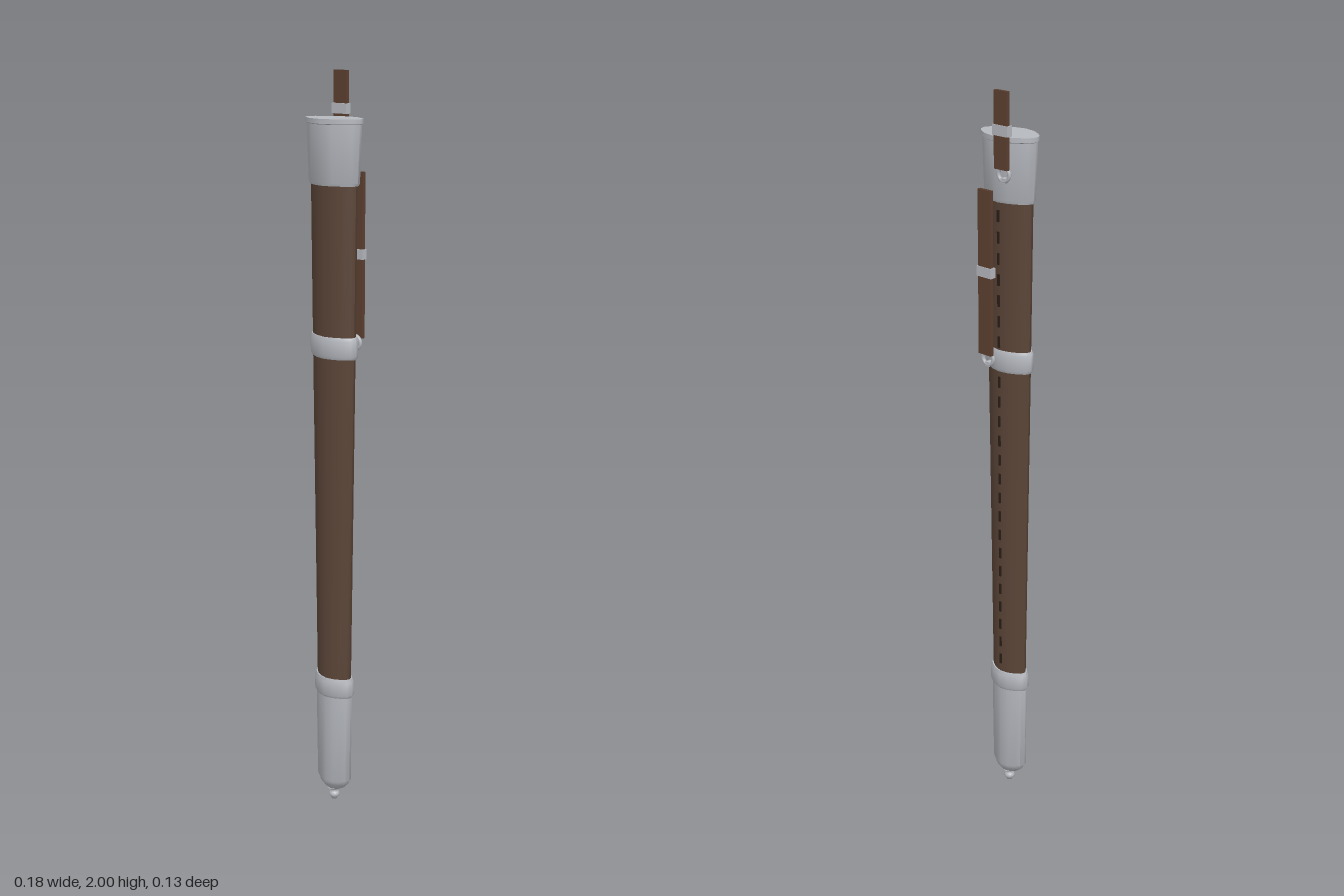
import * as THREE from 'three';
import { toCreasedNormals } from 'three/addons/utils/BufferGeometryUtils.js';

const material = (name, color, side = THREE.FrontSide) =>
  new THREE.MeshStandardMaterial({ name, color, side });

const CENTER_Z = 0.005;
// Quarter of the pointed oval section, as fractions of half width and half depth
const QUARTER = [[1, 0], [0.92, 0.31], [0.7, 0.6], [0.38, 0.87], [0, 1]];
const SECTION = [
  ...QUARTER,
  ...QUARTER.slice(0, 4).reverse().map(([x, z]) => [-x, z]),
  ...QUARTER.slice(1).map(([x, z]) => [-x, -z]),
  ...QUARTER.slice(1, 4).reverse().map(([x, z]) => [x, -z]),
];

// Capped solid through oval sections; rows run upwards as [y, halfWidth, halfDepth]
function loft(rows) {
  const n = SECTION.length, pos = [], index = [];
  for (const [y, w, d] of rows)
    for (const [x, z] of SECTION) pos.push(x * w, y, z * d + CENTER_Z);
  const bottom = rows.length * n, top = bottom + 1, last = (rows.length - 1) * n;
  pos.push(0, rows[0][0], CENTER_Z, 0, rows[rows.length - 1][0], CENTER_Z);
  for (let i = 0; i < n; i++) {
    const j = (i + 1) % n;
    for (let r = 0; r < last; r += n)
      index.push(r + i, r + n + i, r + j, r + j, r + n + i, r + n + j);
    index.push(bottom, i, j, top, last + j, last + i);
  }
  const geo = new THREE.BufferGeometry();
  geo.setAttribute('position', new THREE.Float32BufferAttribute(pos, 3));
  geo.setIndex(index);
  return toCreasedNormals(geo, 0.8);
}

// Flat tube of rectangular outline, running up y and open at both ends
function sleeve(width, height, depth, wall) {
  const rect = (P, w, d) => {
    const p = new P();
    p.moveTo(-w, -d); p.lineTo(w, -d); p.lineTo(w, d); p.lineTo(-w, d); p.closePath();
    return p;
  };
  const shape = rect(THREE.Shape, width / 2, depth / 2);
  shape.holes.push(rect(THREE.Path, width / 2 - wall, depth / 2 - wall));
  return new THREE.ExtrudeGeometry(shape, { depth: height, bevelEnabled: false })
    .translate(0, 0, -height / 2).rotateX(-Math.PI / 2);
}

export function createModel() {
  const model = new THREE.Group();
  model.name = 'scabbard';
  const leather = material('brown leather', 0x5a4437);
  const strapLeather = material('strap leather', 0x5c4030);
  const metal = material('pale steel', 0xb5b8be);
  const thread = material('dark thread', 0x2a1d16);

  const add = (name, geo, mat, x = 0, y = 0, z = 0, parent = model) => {
    const mesh = new THREE.Mesh(geo, mat);
    mesh.name = name;
    mesh.position.set(x, y, z);
    parent.add(mesh);
    return mesh;
  };

  // Leather body
  add('body', loft([[0.3, 0.055, 0.035], [1.3, 0.069, 0.039], [1.76, 0.074, 0.042]]), leather);

  // Metal throat with a thin rim
  add('throat', loft([
    [1.72, 0.077, 0.045], [1.727, 0.08, 0.048], [1.872, 0.085, 0.055],
    [1.874, 0.089, 0.058], [1.886, 0.089, 0.058],
  ]), metal);

  // Middle band
  add('middleBand', loft([
    [1.275, 0.072, 0.041], [1.283, 0.076, 0.045], [1.325, 0.077, 0.045], [1.333, 0.073, 0.042],
  ]), metal);

  // Metal tip fitting, its collar and rounded end
  add('tipFitting', loft([
    [0.036, 0.018, 0.014], [0.045, 0.034, 0.024], [0.056, 0.045, 0.031], [0.058, 0.048, 0.033],
    [0.066, 0.05, 0.034], [0.072, 0.056, 0.036], [0.34, 0.06, 0.038],
  ]), metal);
  add('tipCollar', loft([
    [0.325, 0.06, 0.038], [0.333, 0.065, 0.043], [0.37, 0.064, 0.042], [0.38, 0.06, 0.039],
  ]), metal);

  // Finial knob
  const knob = [[0, 0], [0.008, 0.003], [0.009, 0.007], [0.014, 0.012], [0.015, 0.018],
    [0.012, 0.024], [0.007, 0.028], [0.012, 0.034], [0.019, 0.038], [0, 0.04]];
  add('finial', new THREE.LatheGeometry(knob.map(p => new THREE.Vector2(...p)), 16),
    metal, 0, 0, CENTER_Z);

  // Stitched seam along the back
  const stitches = new THREE.Group();
  stitches.name = 'stitches';
  model.add(stitches);
  for (let y = 0.42; y < 1.7; y += 0.055) {
    if (y > 1.25 && y < 1.35) continue;
    const depth = y < 1.3 ? 0.035 + (y - 0.3) * 0.004 : 0.039 + (y - 1.3) * 0.0065;
    add('stitch', new THREE.BoxGeometry(0.006, 0.03, 0.006), thread,
      0, y, CENTER_Z - depth, stitches);
  }

  // Hanging straps, each a folded layer with keeper and ring
  const hanger = (name, x, z, bottom, top, keeperY, ringY) => {
    const group = new THREE.Group();
    group.name = name;
    model.add(group);
    add('strap', sleeve(0.043, top - bottom, 0.01, 0.004), strapLeather,
      x, (top + bottom) / 2, z, group);
    add('keeper', sleeve(0.05, 0.026, 0.017, 0.004), metal, x, keeperY, z + 0.001, group);
    add('ring', new THREE.TorusGeometry(0.018, 0.005, 8, 20), metal, x, ringY, z + 0.008, group);
    add('ringLug', new THREE.BoxGeometry(0.014, 0.012, 0.03), metal,
      x, ringY - 0.016, z + 0.019, group);
  };
  hanger('upperHanger', -0.032, -0.058, 1.81, 2.0, 1.905, 1.797);
  hanger('lowerHanger', 0.027, -0.055, 1.32, 1.75, 1.54, 1.308);

  return model;
}
